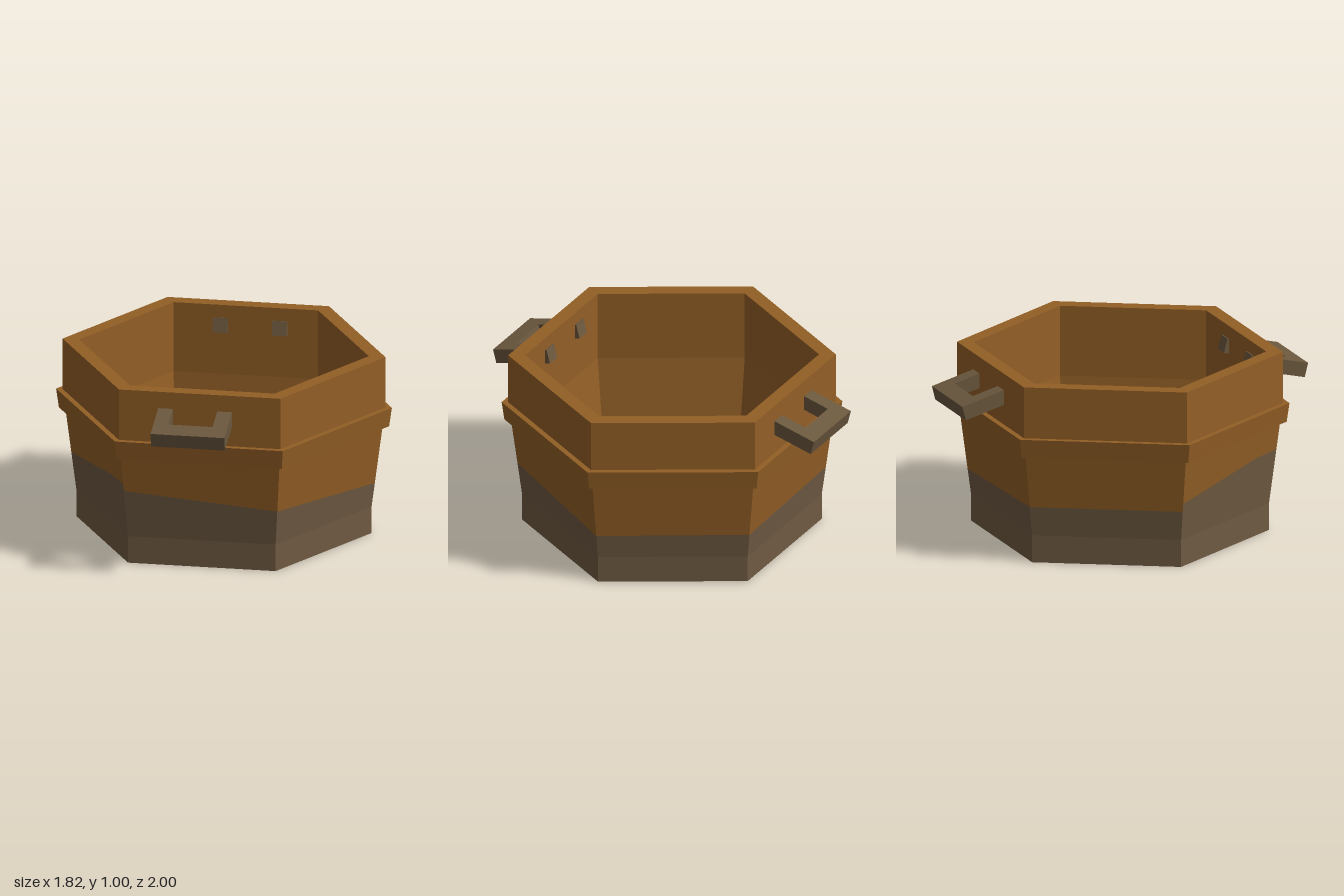
import * as THREE from 'three';

const wood = new THREE.MeshStandardMaterial({ color: 0x935f26, flatShading: true });
wood.name = 'brown wood';
const mud = new THREE.MeshStandardMaterial({ color: 0x6f5a42, flatShading: true });
mud.name = 'grey brown mud';
const grip = new THREE.MeshStandardMaterial({ color: 0x6b583e, flatShading: true });
grip.name = 'handle brown';

function part(name, geometry, material) {
  const mesh = new THREE.Mesh(geometry, material);
  mesh.name = name;
  return mesh;
}

// Six-sided ring swept from a [radius, height] profile, one corner on +x
function hexRing(profile) {
  const points = profile.map(([r, y]) => new THREE.Vector2(r, y));
  return new THREE.LatheGeometry(points, 6, Math.PI / 2);
}

// Point on the tapered wall: u runs 0..6 round the corners from +x towards +z
const LOW = 0.15, HIGH = 0.61;
function wallPoint(u, y) {
  const r = 0.8 + 0.06 * (y - LOW) / (HIGH - LOW);
  const i = Math.floor(u), t = u - i;
  const corner = k => [r * Math.cos(k * Math.PI / 3), r * Math.sin(k * Math.PI / 3)];
  const a = corner(i), b = corner(i + 1);
  return [a[0] + (b[0] - a[0]) * t, y, a[1] + (b[1] - a[1]) * t];
}

// Uneven mud line round the wall: [u, height]
const mudLine = [
  [0, 0.285], [1, 0.345], [2, 0.415], [2, 0.455], [2.22, 0.45],
  [3, 0.36], [3, 0.315], [4, 0.315], [5, 0.29], [6, 0.285],
];

// Tapered wall strip between two height rules
function wallStrip(bottom, top) {
  const pos = [];
  for (let i = 0; i < mudLine.length - 1; i++) {
    const [u0, m0] = mudLine[i], [u1, m1] = mudLine[i + 1];
    if (u0 === u1) continue;
    const a = wallPoint(u1, bottom(m1)), b = wallPoint(u0, bottom(m0));
    const c = wallPoint(u0, top(m0)), d = wallPoint(u1, top(m1));
    pos.push(...a, ...b, ...c, ...a, ...c, ...d);
  }
  const geo = new THREE.BufferGeometry();
  geo.setAttribute('position', new THREE.Float32BufferAttribute(pos, 3));
  geo.computeVertexNormals();
  return geo;
}

// U-shaped handle, tilted down outwards, its legs passing through the wall
function makeHandle(name) {
  const outline = [
    [-0.225, 0], [0.175, 0], [0.175, -0.34], [0.095, -0.34],
    [0.095, -0.1], [-0.145, -0.1], [-0.145, -0.34], [-0.225, -0.34],
  ];
  const shape = new THREE.Shape(outline.map(([x, y]) => new THREE.Vector2(x, y)));
  const geo = new THREE.ExtrudeGeometry(shape, { depth: 0.08, bevelEnabled: false });
  geo.rotateX(Math.PI / 2);
  geo.rotateX(THREE.MathUtils.degToRad(14.5));
  geo.translate(0, 0.845, 1);
  return part(name, geo, grip);
}

export function createModel() {
  const tub = new THREE.Group();
  tub.name = 'hexagonalTub';

  // Band, upper wall, rim, inner wall and floor
  tub.add(part('upperShell', hexRing([
    [0.86, 0.61], [0.895, 0.61], [0.91, 0.715], [0.875, 0.715], [0.875, 1],
    [0.785, 1], [0.785, 0.61], [0.73, 0.15], [0, 0.15],
  ]), wood));

  // Tapered lower wall, split at the mud line
  tub.add(part('lowerWall', wallStrip(m => m, () => HIGH), wood));
  tub.add(part('muddyWall', wallStrip(() => LOW, m => m), mud));

  // Straight foot with a recessed underside
  tub.add(part('foot', hexRing([
    [0, 0.05], [0.71, 0.05], [0.71, 0], [0.8, 0], [0.8, 0.15],
  ]), mud));

  // Mud stain in the back corner of the floor
  const stain = new THREE.Shape([
    [-0.725, 0], [-0.365, 0.63], [-0.29, 0.63], [-0.44, 0.34], [-0.5, 0.3], [-0.7, -0.04],
  ].map(([x, y]) => new THREE.Vector2(x, y)));
  const stainMesh = part('floorStain', new THREE.ShapeGeometry(stain).rotateX(-Math.PI / 2), mud);
  stainMesh.position.y = 0.154;
  tub.add(stainMesh);

  // Handles front and back
  const back = makeHandle('backHandle');
  back.rotation.y = Math.PI;
  tub.add(makeHandle('frontHandle'), back);

  return tub;
}
